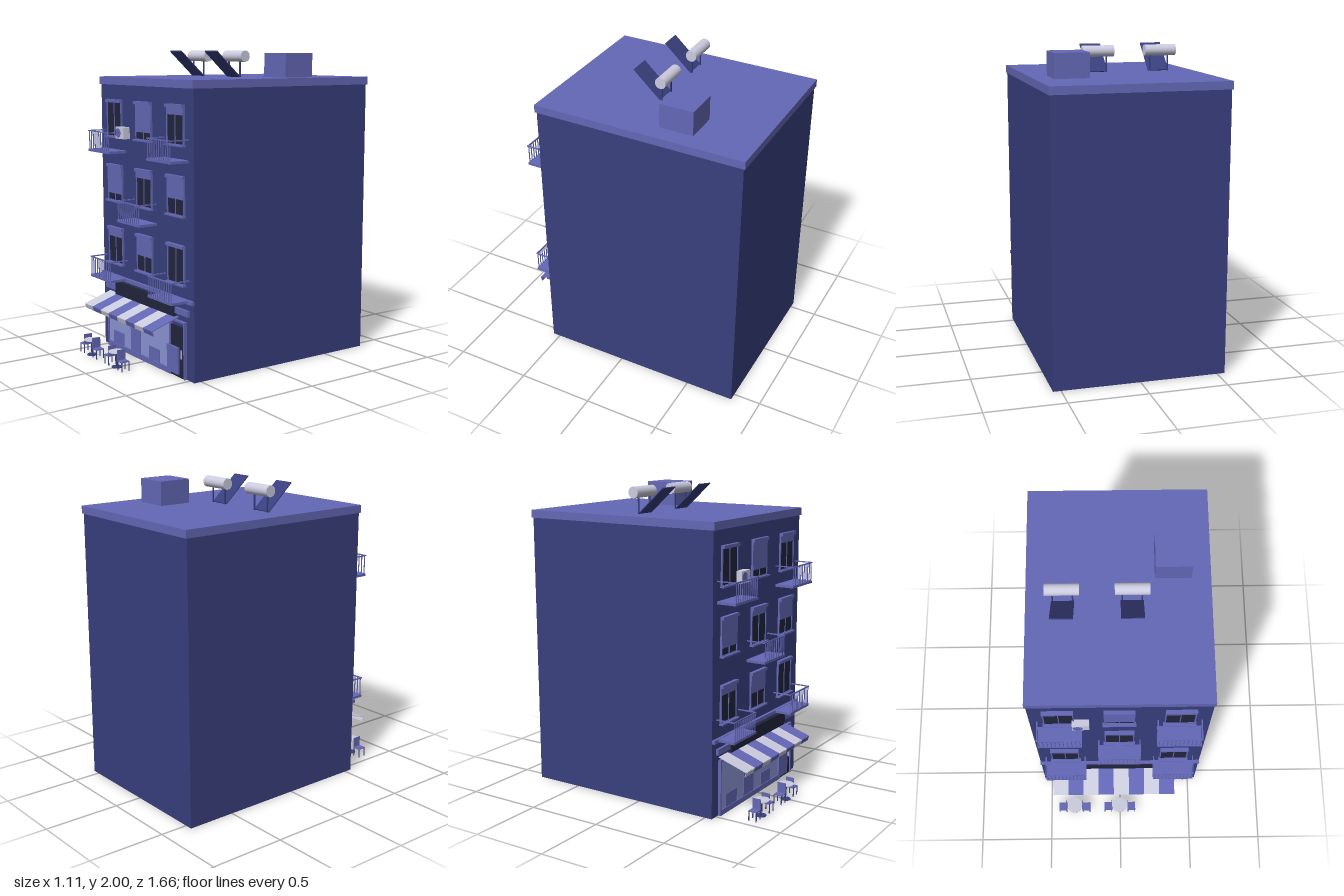
import * as THREE from 'three';

const material = (name, color) => {
  const m = new THREE.MeshStandardMaterial({ color });
  m.name = name;
  return m;
};

export function createModel() {
  const wall = material('navy wall', 0x393f7e);
  const trim = material('blue trim', 0x6468b6);
  const dark = material('dark glass', 0x22243c);
  const shopGlass = material('pale shop glass', 0x8c94d4);
  const white = material('off white', 0xcccce0);

  const model = new THREE.Group();
  model.name = 'cornerCafeBuilding';

  const add = (parent, name, geometry, mat, x, y, z) => {
    const mesh = new THREE.Mesh(geometry, mat);
    mesh.name = name;
    mesh.position.set(x, y, z);
    parent.add(mesh);
    return mesh;
  };
  // Box given by its limits on each axis
  const box = (parent, name, mat, x0, x1, y0, y1, z0, z1) =>
    add(parent, name, new THREE.BoxGeometry(x1 - x0, y1 - y0, z1 - z0), mat,
      (x0 + x1) / 2, (y0 + y1) / 2, (z0 + z1) / 2);
  // Thin slab spanning two points in the y-z plane
  const slab = (parent, name, mat, x0, x1, y0, z0, y1, z1, t = 0.004) => {
    const mesh = add(parent, name,
      new THREE.BoxGeometry(x1 - x0, t, Math.hypot(y1 - y0, z1 - z0)), mat,
      (x0 + x1) / 2, (y0 + y1) / 2, (z0 + z1) / 2);
    mesh.rotation.x = Math.atan2(y0 - y1, z1 - z0);
    return mesh;
  };
  const group = (name, x = 0, y = 0, z = 0, parent = model) => {
    const g = new THREE.Group();
    g.name = name;
    g.position.set(x, y, z);
    parent.add(g);
    return g;
  };

  const F = 0.55; // facade plane

  // Main block and cornice
  box(model, 'walls', wall, -0.55, 0.55, 0, 1.78, -0.82, F);
  box(model, 'cornice', trim, -0.556, 0.556, 1.78, 1.83, -0.83, 0.562);
  box(model, 'beltCourse', trim, -0.552, 0.552, 0.485, 0.508, F, 0.57);

  // Windows: opening, frame, blind, lintel and sill
  const addWindow = (x, y, blind) => {
    const g = group('window', x, y, F);
    const h = 0.23, w = 0.09;
    box(g, 'glass', dark, -w, w, 0, h, 0, 0.006);
    for (const s of [-1, 1]) {
      box(g, 'frameSide', trim, s * w - 0.004, s * w + 0.004, 0, h, 0, 0.012);
    }
    box(g, 'mullion', trim, -0.003, 0.003, 0, h, 0, 0.01);
    box(g, 'frameBottom', trim, -w, w, 0, 0.006, 0, 0.012);
    if (blind > 0) box(g, 'blind', trim, -w, w, h - blind, h, 0, 0.014);
    box(g, 'lintel', trim, -0.094, 0.094, h - 0.006, h + 0.014, 0, 0.025);
    box(g, 'sill', trim, -0.102, 0.102, -0.008, 0.002, 0, 0.028);
  };

  // Balcony: slab, top rail, balusters
  const addBalcony = (x, y) => {
    const g = group('balcony', x, y, F);
    const w = 0.137, d = 0.13, top = 0.04;
    box(g, 'balconyFloor', trim, -w, w, -0.1, -0.084, 0, d);
    box(g, 'frontRail', trim, -w, w, top - 0.007, top, d - 0.008, d);
    for (const s of [-1, 1]) {
      box(g, 'sideRail', trim, s * (w - 0.004) - 0.004, s * (w - 0.004) + 0.004,
        top - 0.007, top, 0, d);
    }
    const n = 11;
    for (let i = 0; i < n; i++) {
      const bx = (i / (n - 1) - 0.5) * 2 * (w - 0.012);
      box(g, 'baluster', trim, bx - 0.0025, bx + 0.0025, -0.085, top - 0.005, d - 0.0065, d - 0.0015);
    }
  };

  const columns = [-0.37, -0.003, 0.364];
  const rows = [
    { y: 1.44, blinds: [0, 0.18, 0.05], balconies: [0, 2] },
    { y: 1.012, blinds: [0.18, 0.045, 0.13], balconies: [1] },
    { y: 0.59, blinds: [0.05, 0.125, 0], balconies: [0, 2] },
  ];
  for (const row of rows) {
    columns.forEach((x, i) => addWindow(x, row.y, row.blinds[i]));
    row.balconies.forEach((i) => addBalcony(columns[i], row.y));
  }

  // Air conditioner
  const ac = group('airConditioner', -0.238, 1.473, F);
  box(ac, 'acCase', white, -0.052, 0.052, -0.038, 0.038, 0, 0.046);
  add(ac, 'acFan', new THREE.CylinderGeometry(0.03, 0.03, 0.004, 20), trim, -0.018, 0, 0.047)
    .rotation.x = Math.PI / 2;

  // Shop front
  const shop = group('shopFront');
  box(shop, 'fascia', trim, -0.505, 0.503, 0.402, 0.44, F, 0.567);
  box(shop, 'signBoard', dark, -0.36, 0.357, 0.38, 0.468, F, 0.574);
  box(shop, 'shopWindow', shopGlass, -0.47, 0.305, 0.035, 0.36, F, 0.562);
  box(shop, 'windowPlinth', trim, -0.475, 0.305, 0, 0.035, F, 0.57);
  box(shop, 'windowHead', trim, -0.475, 0.47, 0.35, 0.362, F, 0.57);
  for (const x of [-0.472, 0.303, 0.463]) {
    box(shop, 'shopPost', trim, x - 0.005, x + 0.005, 0, 0.355, F, 0.57);
  }
  box(shop, 'door', dark, 0.308, 0.458, 0, 0.322, F, 0.562);
  box(shop, 'doorHandle', white, 0.428, 0.434, 0.125, 0.18, 0.562, 0.572);
  for (const [x0, x1, y1] of [[-0.405, -0.27, 0.12], [-0.18, -0.055, 0.19], [0.05, 0.175, 0.12]]) {
    box(shop, 'windowPanel', trim, x0, x1, 0.035, y1, 0.562, 0.565);
  }
  box(shop, 'menuBoard', trim, 0.28, 0.405, 0.02, 0.19, 0.562, 0.576);

  // Striped awning with valance
  const awning = group('awning');
  const stripe = 0.855 / 8;
  for (let i = 0; i < 8; i++) {
    const x0 = -0.472 + i * stripe, mat = i % 2 ? trim : white;
    slab(awning, 'awningStripe', mat, x0, x0 + stripe, 0.38, F, 0.316, 0.745);
    slab(awning, 'valanceStripe', mat, x0, x0 + stripe, 0.316, 0.745, 0.286, 0.735);
  }

  // Cafe tables with two chairs each
  for (const tx of [-0.33, -0.002]) {
    const set = group('cafeSet', tx, 0, 0.775);
    add(set, 'tableTop', new THREE.CylinderGeometry(0.053, 0.053, 0.005, 24), white, 0, 0.104, 0);
    add(set, 'tableStem', new THREE.CylinderGeometry(0.004, 0.004, 0.1, 8), wall, 0, 0.052, 0);
    add(set, 'tableBase', new THREE.CylinderGeometry(0.032, 0.034, 0.006, 20), wall, 0, 0.003, 0);
    for (const s of [-1, 1]) {
      const chair = group('chair', s * 0.084, 0, 0, set);
      box(chair, 'seat', trim, -0.028, 0.028, 0.058, 0.064, -0.029, 0.029);
      const bx = -s * 0.026;
      box(chair, 'chairBack', trim, bx - 0.0025, bx + 0.0025, 0.064, 0.13, -0.029, 0.029);
      for (const lx of [-0.025, 0.025]) {
        for (const lz of [-0.026, 0.026]) {
          box(chair, 'chairLeg', wall, lx - 0.0025, lx + 0.0025, 0, 0.058, lz - 0.0025, lz + 0.0025);
        }
      }
    }
  }

  // Roof: stair housing and solar water heaters
  box(model, 'stairHousing', trim, 0.218, 0.438, 1.83, 1.985, -0.45, -0.23);
  for (const x of [-0.333, 0.08]) {
    const heater = group('solarHeater', x);
    slab(heater, 'solarPanel', wall, -0.069, 0.069, 1.832, -0.085, 1.997, 0.097, 0.006);
    add(heater, 'waterTank', new THREE.CylinderGeometry(0.036, 0.036, 0.206, 28), white, 0, 1.964, -0.102)
      .rotation.z = Math.PI / 2;
    for (const px of [-0.06, 0.06]) {
      box(heater, 'tankPost', wall, px - 0.004, px + 0.004, 1.83, 1.94, -0.095, -0.087);
    }
  }

  return model;
}
